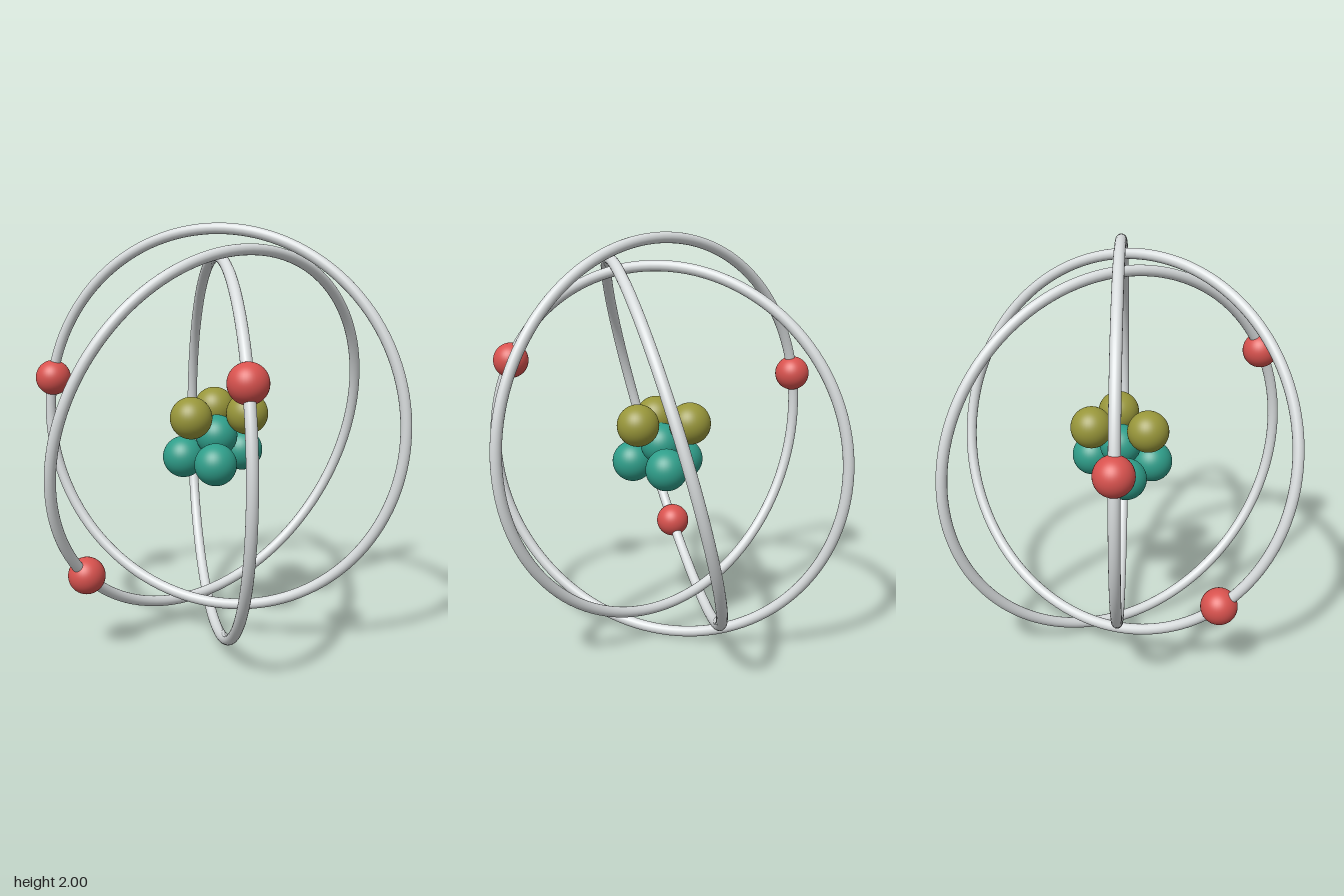
import * as THREE from 'three';

const mat = (name, color) => new THREE.MeshStandardMaterial({ name, color });

export function createModel() {
  const grey = mat('ring grey', 0xd8dcdd);
  const red = mat('electron red', 0xd8524e);
  const teal = mat('neutron teal', 0x2f9e8a);
  const olive = mat('proton olive', 0x98963a);

  const model = new THREE.Group();
  model.name = 'atom';
  const atom = new THREE.Group();
  atom.name = 'atomParts';
  atom.position.set(0.023, 1, 0);
  model.add(atom);

  const add = (name, geometry, material, parent = atom) => {
    const mesh = new THREE.Mesh(geometry, material);
    mesh.name = name;
    parent.add(mesh);
    return mesh;
  };

  // Circular orbit rings: [name, height offset, yaw, roll] in degrees
  const rad = THREE.MathUtils.degToRad;
  for (const [name, y, yaw, roll] of [
    ['upperOrbit', 0.064, 30, 0],
    ['lowerOrbit', -0.064, -30, 0],
    ['sideOrbit', 0, 90, -15],
  ]) {
    const ring = new THREE.TorusGeometry(0.91, 0.026, 20, 128);
    ring.rotateY(rad(yaw)).rotateZ(rad(roll));
    add(name, ring, grey).position.y = y;
  }

  // Small balls threaded on the rings
  const ball = (name, r, material, x, y, z, parent) =>
    add(name, new THREE.SphereGeometry(r, 40, 28), material, parent).position.set(x, y, z);
  ball('upperOrbitElectron', 0.088, red, -0.773, 0.236, 0.444);
  ball('lowerOrbitElectron', 0.088, red, 0.697, 0.354, 0.402);
  ball('sideOrbitElectron', 0.087, red, -0.168, -0.617, 0.643);

  // Nucleus: upper trio, lower trio turned the other way, and a core
  const nucleus = new THREE.Group();
  nucleus.name = 'nucleus';
  atom.add(nucleus);
  for (const x of [-0.124, 0.124]) {
    ball('proton', 0.1, olive, x, 0.111, -0.084, nucleus);
    ball('neutron', 0.1, teal, x, -0.113, 0.108, nucleus);
  }
  ball('proton', 0.1, olive, 0, 0.097, 0.156, nucleus);
  ball('neutron', 0.1, teal, 0, -0.091, -0.158, nucleus);
  ball('coreNeutron', 0.1, teal, 0, -0.003, 0.002, nucleus);

  return model;
}
